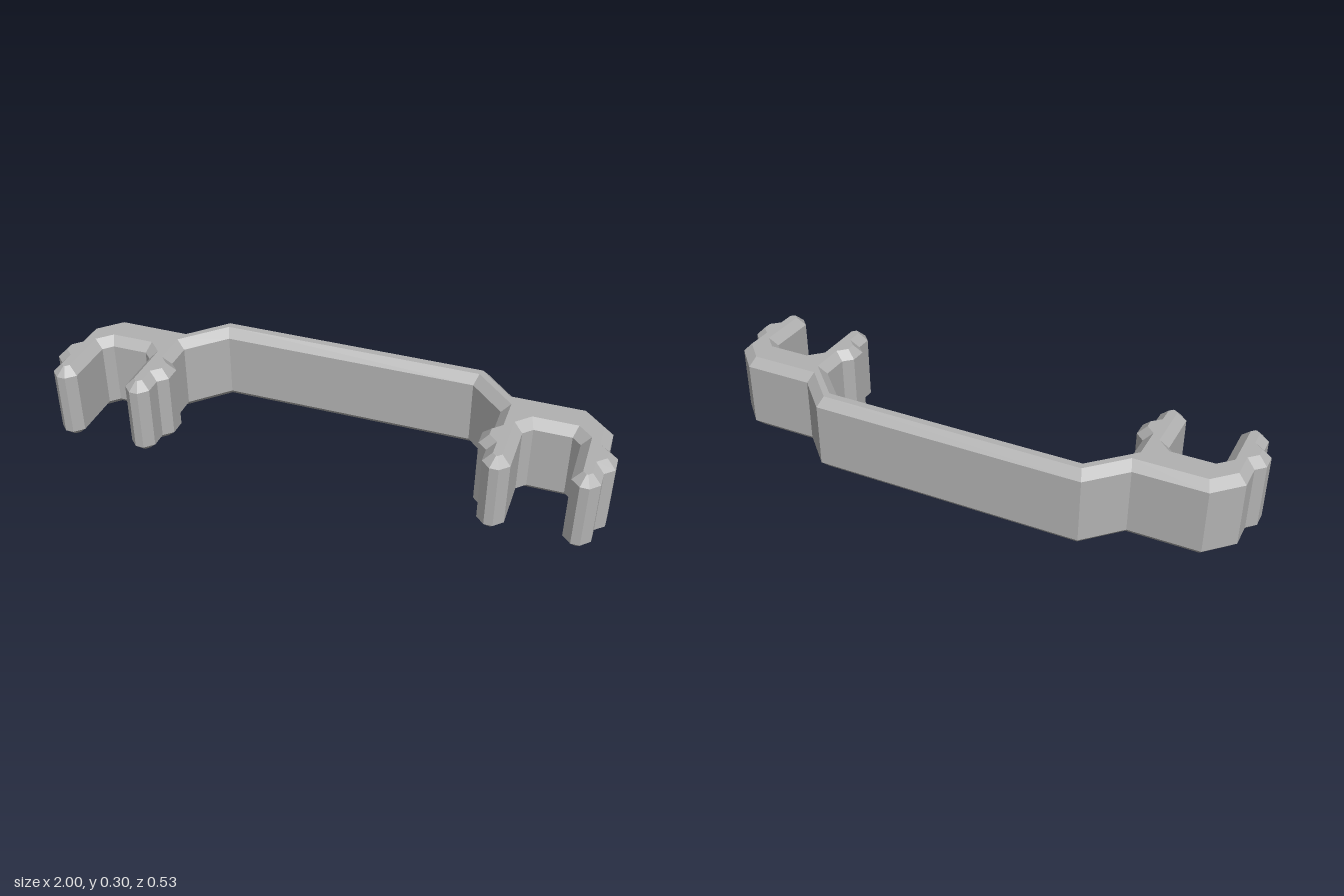
import * as THREE from 'three';

const HEIGHT = 0.296, BEVEL = 0.031;
const CLIP_X = 0.779; // centre line of each clip

// Outer side of a clip prong, as [offset from the clip centre, z], from root round the tip to the inside
const prong = [
  [0.189, 0.05], [0.221, 0.082], [0.221, 0.142], [0.189, 0.172],
  [0.189, 0.232], [0.158, 0.263], [0.127, 0.263], [0.096, 0.232],
  [0.096, 0.046], [0.065, 0.015],
];

export function createModel() {
  const group = new THREE.Group();
  const grey = new THREE.MeshStandardMaterial({ color: 0xb2b2b2, flatShading: true });
  grey.name = 'grey';

  // Left half of the plan outline: back of the bar, clip with two prongs, front of the bar
  const half = [
    [0.497, -0.263], [0.62, -0.138], [0.876, -0.138], [0.968, -0.045],
    ...prong.map(([d, z]) => [CLIP_X + d, z]),
    ...prong.map(([d, z]) => [CLIP_X - d, z]).reverse(),
    [0.59, -0.05], [0.465, -0.175],
  ];
  const outline = [...half, ...half.map(([x, z]) => [-x, z]).reverse()];
  const shape = new THREE.Shape(outline.map(([x, z]) => new THREE.Vector2(x, z)));

  // Upright extrusion with chamfered top and bottom edges
  const geometry = new THREE.ExtrudeGeometry(shape, {
    depth: HEIGHT - 2 * BEVEL,
    bevelEnabled: true,
    bevelThickness: BEVEL,
    bevelSize: BEVEL,
    bevelOffset: -BEVEL,
    bevelSegments: 1,
  });
  geometry.rotateX(Math.PI / 2);
  geometry.translate(0, HEIGHT - BEVEL, 0);

  const bracket = new THREE.Mesh(geometry, grey);
  bracket.name = 'clipBracket';
  group.add(bracket);
  return group;
}
